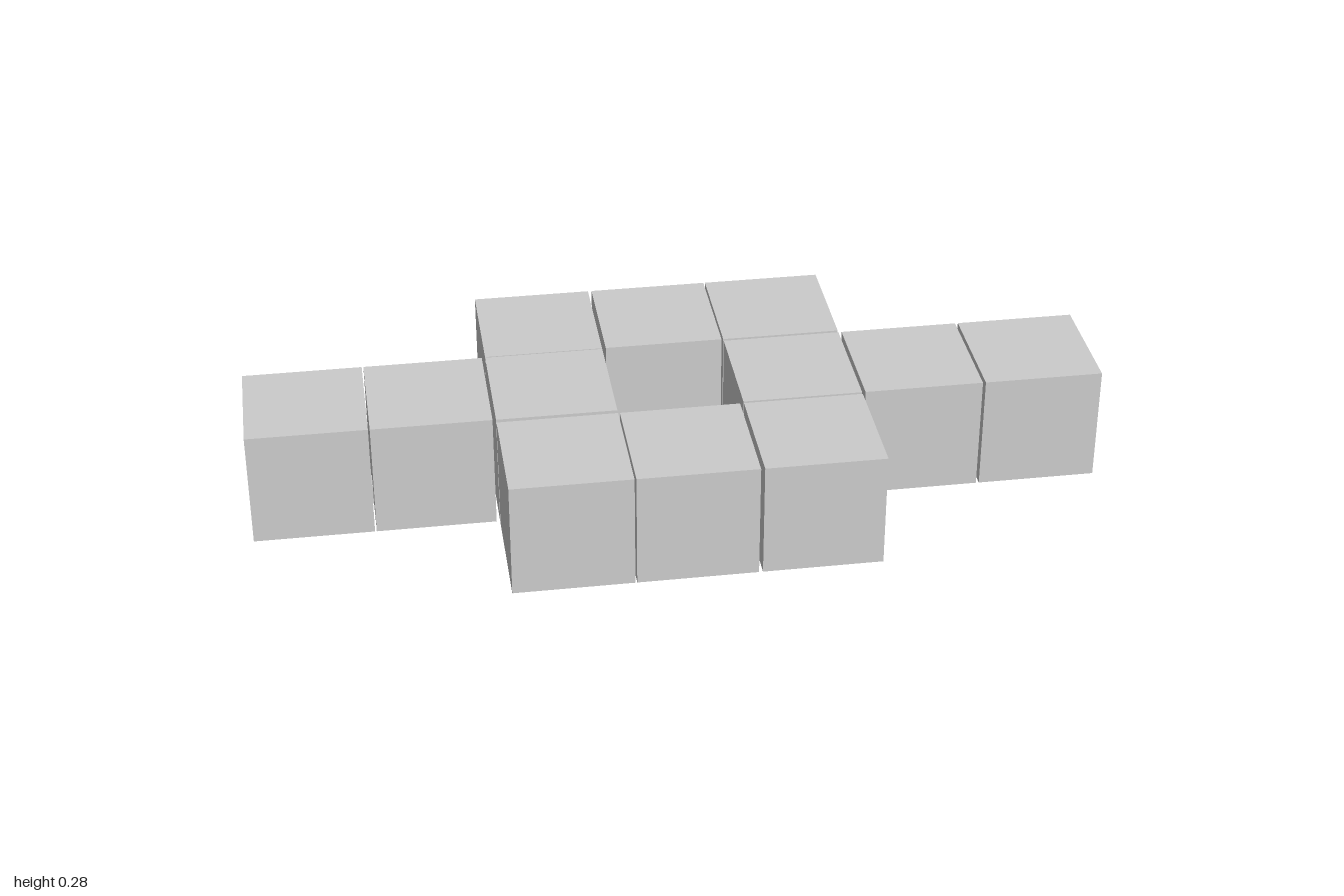
import * as THREE from 'three';

export function createModel() {
  const model = new THREE.Group();
  const material = new THREE.MeshStandardMaterial({ color: 0xcccccc, flatShading: true });
  const S = 0.28;

  function box(name, w, h, d, x, z) {
    const mesh = new THREE.Mesh(new THREE.BoxGeometry(w, h, d), material);
    mesh.name = name;
    mesh.position.set(x, h / 2, z);
    model.add(mesh);
  }

  // Four rows of three cubes: two outer rows and two arms, slightly uneven
  const rows = [
    { name: 'backCube', z: -0.286, xs: [-0.288, 0.001, 0.285] },
    { name: 'frontCube', z: 0.289, xs: [-0.288, -0.004, 0.285] },
    { name: 'rightArmCube', z: -0.003, xs: [-0.86, -0.576, -0.288] },
    { name: 'leftArmCube', z: 0.002, xs: [0.285, 0.573, 0.86] },
  ];
  for (const { name, z, xs } of rows) {
    xs.forEach((x, i) => {
      box(name + (i + 1), S, S, S, x, z);
      // Low tab joining each cube to its neighbour in the row
      if (i > 0) box(name + 'Tab' + i, 0.016, 0.05, 0.045, (x + xs[i - 1]) / 2, z);
    });
  }

  // Low tabs joining the inner arm cubes to the outer rows
  for (const x of [-0.288, 0.285])
    for (const z of [-0.143, 0.146]) box('crossTab', 0.045, 0.05, 0.02, x, z);

  return model;
}
